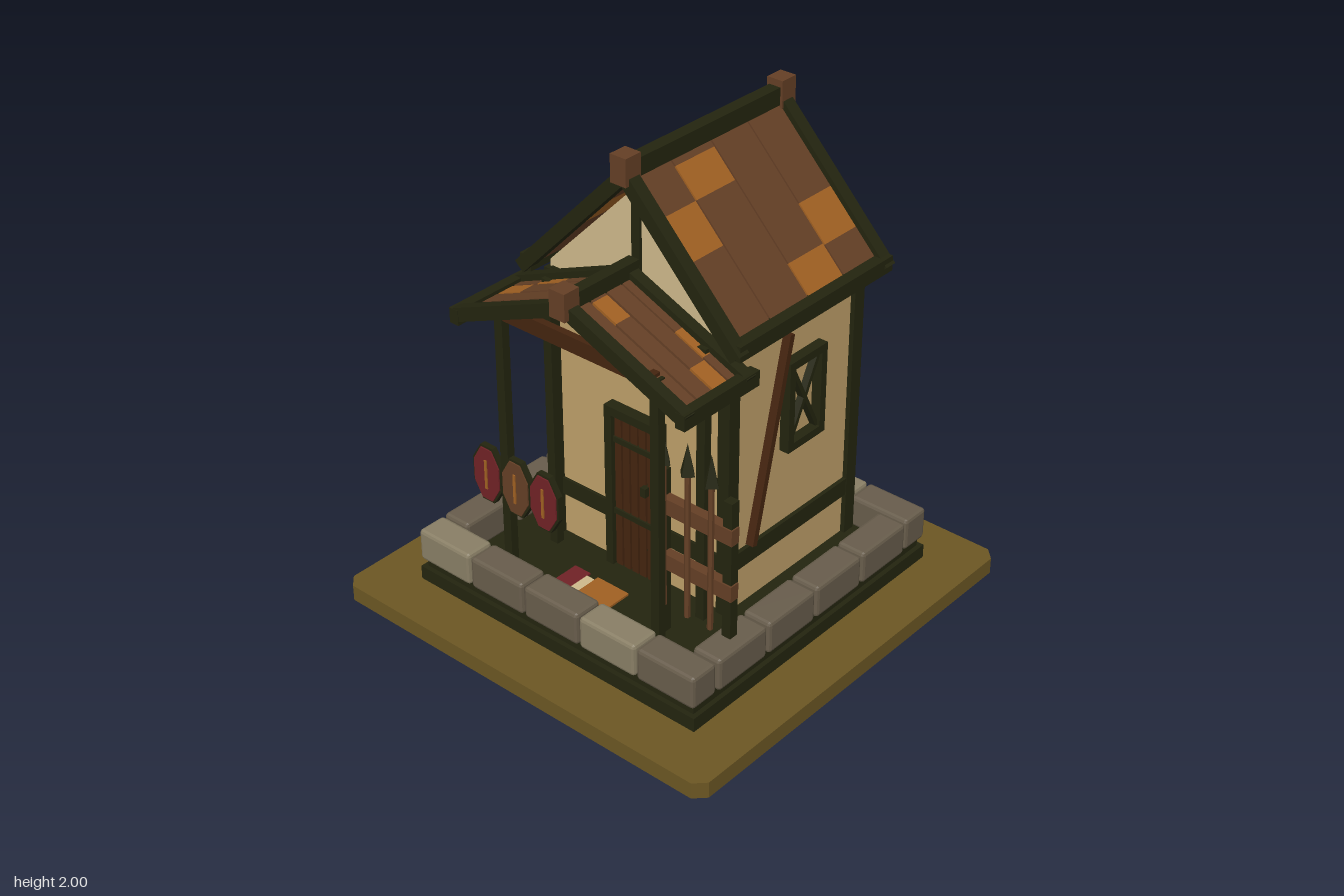
import * as THREE from 'three';
import { RoundedBoxGeometry } from 'three/addons/geometries/RoundedBoxGeometry.js';

function paint(name, color) {
  const m = new THREE.MeshStandardMaterial({ color, flatShading: true });
  m.name = name;
  return m;
}

export function createModel() {
  const root = new THREE.Group();
  const M = {
    grass: paint('olive ground', 0x6b5623),
    timber: paint('dark timber', 0x23240f),
    wall: paint('tan plaster', 0xbd9e68),
    gable: paint('pale plaster', 0xcdb88a),
    plank: paint('brown wood', 0x643f25),
    patch: paint('orange wood', 0xa06022),
    deep: paint('deep brown wood', 0x44240f),
    red: paint('dark red', 0x702226),
    stoneLight: paint('light stone', 0x887e65),
    stoneDark: paint('dark stone', 0x675c4b),
  };

  const add = (name, geo, mat, parent = root) => {
    const mesh = new THREE.Mesh(geo, mat);
    mesh.name = name;
    parent.add(mesh);
    return mesh;
  };
  // Box given by its minimum and maximum on each axis
  const box = (name, mat, x0, x1, y0, y1, z0, z1) => {
    const m = add(name, new THREE.BoxGeometry(x1 - x0, y1 - y0, z1 - z0), mat);
    m.position.set((x0 + x1) / 2, (y0 + y1) / 2, (z0 + z1) / 2);
    return m;
  };
  // Sloping bar in the xy plane, centred on the line between two points
  const slope = (name, mat, x0, y0, x1, y1, t, z0, z1) => {
    const m = add(name, new THREE.BoxGeometry(Math.hypot(x1 - x0, y1 - y0), t, z1 - z0), mat);
    m.position.set((x0 + x1) / 2, (y0 + y1) / 2, (z0 + z1) / 2);
    m.rotation.z = Math.atan2(y1 - y0, x1 - x0);
    return m;
  };
  // Sloping bar in the zy plane
  const sideBar = (name, mat, x, z0, y0, z1, y1, w, t) => {
    const m = add(name, new THREE.BoxGeometry(t, Math.hypot(z1 - z0, y1 - y0), w), mat);
    m.position.set(x, (y0 + y1) / 2, (z0 + z1) / 2);
    m.rotation.x = Math.atan2(z1 - z0, y1 - y0);
    return m;
  };
  const polygon = (pts) => new THREE.Shape(pts.map(([x, y]) => new THREE.Vector2(x, y)));

  // Ground slab with clipped corners
  const e = 0.925, c = 0.88;
  const slab = new THREE.ExtrudeGeometry(
    polygon([[-c, -e], [c, -e], [e, -c], [e, c], [c, e], [-c, e], [-e, c], [-e, -c]]),
    { depth: 0.07, bevelEnabled: false });
  slab.rotateX(-Math.PI / 2);
  add('ground', slab, M.grass);

  // Plinth and ring of stones
  box('plinthFoot', M.timber, -0.71, 0.71, 0.07, 0.13, -0.71, 0.71);
  box('plinth', M.timber, -0.69, 0.69, 0.13, 0.175, -0.69, 0.69);
  const stone = (mat, x, z, w, d) => {
    add('stone', new RoundedBoxGeometry(w, 0.14, d, 1, 0.014), mat).position.set(x, 0.238, z);
  };
  for (const s of [-1, 1]) {
    for (let i = 0; i < 5; i++) {
      stone(i % 3 === 0 ? M.stoneLight : M.stoneDark, (i - 2) * 0.285, s * 0.647, 0.275, 0.13);
    }
    for (let i = 0; i < 4; i++) stone(M.stoneDark, s * 0.647, (i - 1.5) * 0.288, 0.13, 0.275);
  }

  // House walls and gable prism
  box('walls', M.wall, -0.435, 0.435, 0.17, 1.36, -0.555, 0.2);
  const gable = add('gable', new THREE.ExtrudeGeometry(
    polygon([[-0.44, 1.36], [0.44, 1.36], [0.44, 1.4], [0, 1.85], [-0.44, 1.4]]),
    { depth: 0.755, bevelEnabled: false }), M.gable);
  gable.position.z = -0.555;

  // Timber frame
  for (const s of [-1, 1]) {
    for (const z of [-0.573, 0.162]) {
      box('cornerPost', M.timber, s * 0.4275 - 0.0275, s * 0.4275 + 0.0275, 0.17, 1.37, z, z + 0.058);
    }
    for (const [y0, y1] of [[0.36, 0.435], [1.3, 1.37]]) {
      box('sideBeam', M.timber, s * 0.44 - 0.012, s * 0.44 + 0.012, y0, y1, -0.56, 0.21);
    }
    sideBar('wallBrace', M.deep, s * 0.455, 0.08, 0.44, -0.115, 1.28, 0.025, 0.035);
  }
  for (const z of [-0.568, 0.19]) {
    box('lowerBeam', M.timber, -0.43, 0.43, 0.36, 0.435, z, z + 0.022);
    box('upperBeam', M.timber, -0.43, 0.43, 1.31, 1.375, z, z + 0.022);
    box('kingPost', M.timber, -0.02, 0.02, 1.37, 1.85, z, z + 0.022);
  }

  // Plank roof made of strips, each with one orange stretch
  const plankRoof = (name, top, k, reach, t, rows) => {
    for (const s of [-1, 1]) {
      for (const [z0, z1, a, b] of rows) {
        for (const [x0, x1, mat] of [[0, a, M.plank], [a, b, M.patch], [b, reach, M.plank]]) {
          if (x1 - x0 < 0.005) continue;
          slope(name, mat, s * x0, top - k * x0, s * x1, top - k * x1, t, z0, z1);
        }
      }
    }
  };

  // Main roof
  plankRoof('roofPlank', 1.9, 1.03, 0.49, 0.028, [
    [0.045, 0.235, 0.13, 0.26], [-0.175, 0.038, 0.03, 0.13],
    [-0.385, -0.182, 0.38, 0.49], [-0.59, -0.392, 0.26, 0.385]]);
  box('ridgeBeam', M.timber, -0.027, 0.027, 1.9, 1.972, -0.6, 0.25);
  for (const s of [-1, 1]) {
    box('eaveBeam', M.timber, s * 0.508 - 0.028, s * 0.508 + 0.028, 1.357, 1.42, -0.63, 0.265);
    for (const z of [-0.635, 0.228]) {
      slope('rafter', M.timber, 0, 1.915, s * 0.525, 1.37, 0.055, z, z + 0.055);
    }
  }
  for (const z of [-0.652, 0.22]) box('ridgeCap', M.plank, -0.037, 0.037, 1.888, 2, z, z + 0.08);

  // Porch roof
  plankRoof('porchPlank', 1.508, 0.416, 0.535, 0.022, [
    [0.23, 0.31, 0.27, 0.4], [0.318, 0.392, 0.41, 0.535],
    [0.402, 0.476, 0.03, 0.14], [0.486, 0.548, 0.53, 0.535]]);
  box('porchRidge', M.timber, -0.025, 0.025, 1.505, 1.57, 0.22, 0.59);
  box('porchCap', M.plank, -0.037, 0.037, 1.487, 1.6, 0.548, 0.625);
  box('porchCrossBeam', M.deep, -0.38, 0.38, 1.31, 1.375, 0.512, 0.542);
  for (const s of [-1, 1]) {
    box('porchEave', M.timber, s * 0.55 - 0.022, s * 0.55 + 0.022, 1.252, 1.315, 0.2, 0.605);
    for (const z of [0.225, 0.555]) {
      slope('porchRafter', M.timber, 0, 1.517, s * 0.565, 1.283, 0.055, z, z + 0.048);
    }
    for (const z of [0.275, 0.528]) {
      box('porchPost', M.timber, s * 0.38 - 0.02, s * 0.38 + 0.02, 0.17, z > 0.4 ? 1.36 : 1.37, z - 0.018, z + 0.018);
    }
  }

  // Door
  for (const s of [-1, 1]) box('doorJamb', M.timber, s * 0.118 - 0.018, s * 0.118 + 0.018, 0.17, 0.905, 0.195, 0.25);
  box('doorLintel', M.timber, -0.136, 0.136, 0.868, 0.905, 0.195, 0.25);
  box('doorBacking', M.timber, -0.1, 0.1, 0.17, 0.87, 0.195, 0.222);
  for (let i = 0; i < 5; i++) {
    const x = (i - 2) * 0.041;
    box('doorPlank', M.deep, x - 0.016, x + 0.016, 0.175, 0.868, 0.21, 0.232);
  }
  for (const y of [0.43, 0.76]) box('doorStrap', M.timber, -0.1, 0.1, y - 0.012, y + 0.012, 0.215, 0.24);
  box('doorHandle', M.timber, 0.05, 0.075, 0.57, 0.61, 0.225, 0.255);

  // Window on the left wall
  for (const z of [-0.118, -0.307]) box('windowJamb', M.timber, 0.43, 0.478, 0.77, 1.16, z - 0.016, z + 0.016);
  for (const y of [0.786, 1.143]) box('windowRail', M.timber, 0.43, 0.478, y - 0.017, y + 0.017, -0.323, -0.102);
  for (const s of [-1, 1]) {
    sideBar('windowCross', M.timber, 0.45, -0.212 - s * 0.082, 0.8, -0.212 + s * 0.082, 1.13, 0.018, 0.03);
  }

  // Three shields hung by the porch post
  const disc = (rx, ry, depth) => new THREE.CylinderGeometry(1, 1, depth, 8, 1, false, Math.PI / 8)
    .rotateX(Math.PI / 2).scale(rx / 0.924, ry / 0.924, 1);
  [[-0.475, M.red], [-0.322, M.plank], [-0.175, M.red]].forEach(([x, mat]) => {
    const shield = new THREE.Group();
    shield.name = 'shield';
    shield.position.set(x, 0.59, 0.535);
    add('shieldRim', disc(0.075, 0.125, 0.024), M.timber, shield);
    add('shieldFace', disc(0.066, 0.115, 0.008), mat, shield).position.z = 0.014;
    add('shieldBar', new THREE.BoxGeometry(0.012, 0.13, 0.006), M.patch, shield).position.z = 0.02;
    root.add(shield);
  });

  // Fence and spears
  for (const x of [0.315, 0.636]) box('fencePost', M.timber, x - 0.02, x + 0.02, 0.17, 0.905, 0.405, 0.445);
  for (const y of [0.515, 0.762]) box('fenceRail', M.plank, 0.29, 0.662, y - 0.034, y + 0.034, 0.41, 0.452);
  for (const x of [0.36, 0.475, 0.585]) {
    add('spearShaft', new THREE.CylinderGeometry(0.012, 0.012, 0.65, 6), M.plank).position.set(x, 0.665, 0.475);
    add('spearTip', new THREE.ConeGeometry(0.034, 0.13, 4), M.timber).position.set(x, 1.037, 0.475);
  }

  // Small striped mat on the porch floor
  box('matRed', M.red, -0.2, -0.12, 0.175, 0.184, 0.36, 0.53);
  box('matPale', M.gable, -0.12, -0.08, 0.175, 0.184, 0.38, 0.51);
  box('matOrange', M.patch, -0.08, 0.08, 0.175, 0.184, 0.36, 0.5);

  return root;
}
